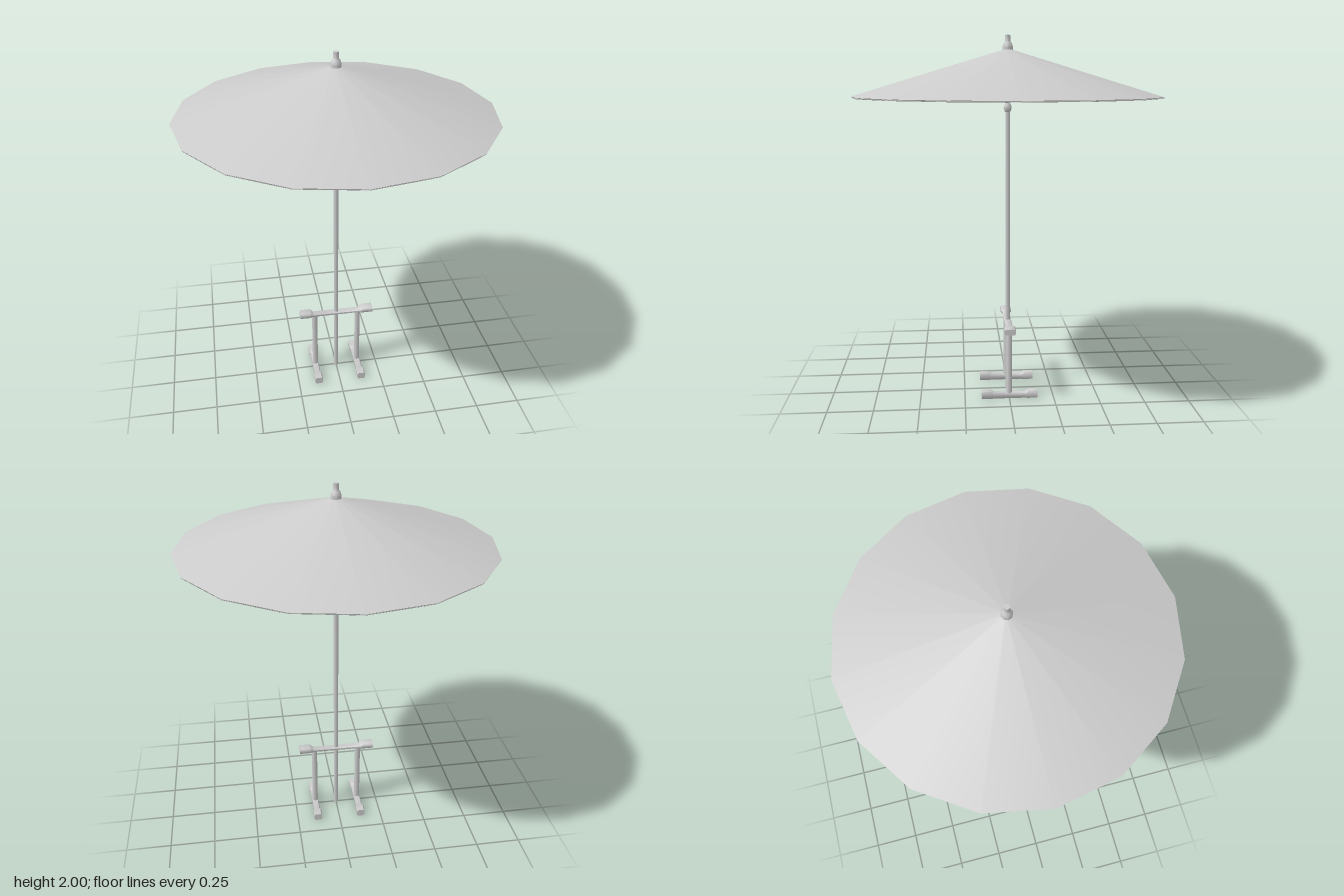
import * as THREE from 'three';
import { toCreasedNormals } from 'three/addons/utils/BufferGeometryUtils.js';

const material = new THREE.MeshStandardMaterial({ color: 0xcccccc, side: THREE.DoubleSide });

function add(parent, name, geometry, x = 0, y = 0, z = 0) {
  const mesh = new THREE.Mesh(geometry, material);
  mesh.name = name;
  mesh.position.set(x, y, z);
  parent.add(mesh);
  return mesh;
}

const lathe = (points, sides) =>
  new THREE.LatheGeometry(points.map(([r, y]) => new THREE.Vector2(r, y)), sides);

// Bar along x with a flat bottom at y = 0; stations are [x, halfWidth, height]
function barGeometry(stations) {
  const section = [[-0.75, 0], [0.75, 0], [1, 0.22], [1, 0.78], [0.75, 1], [-0.75, 1], [-1, 0.78], [-1, 0.22]];
  const n = section.length;
  const positions = [];
  const index = [];
  for (const [x, w, h] of stations) {
    for (const [z, y] of section) positions.push(x, y * h, z * w);
  }
  for (let s = 0; s < stations.length - 1; s++) {
    for (let i = 0; i < n; i++) {
      const a = s * n + i, b = s * n + (i + 1) % n;
      index.push(a, a + n, b, b, a + n, b + n);
    }
  }
  const last = (stations.length - 1) * n;
  for (let i = 1; i < n - 1; i++) {
    index.push(0, i, i + 1, last, last + i + 1, last + i);
  }
  // Winding is turned so that faces point outward
  for (let i = 0; i < index.length; i += 3) {
    [index[i + 1], index[i + 2]] = [index[i + 2], index[i + 1]];
  }
  const geometry = new THREE.BufferGeometry();
  geometry.setAttribute('position', new THREE.Float32BufferAttribute(positions, 3));
  geometry.setIndex(index);
  return toCreasedNormals(geometry, 0.9);
}

// Mirrors half of a bar's stations to make the full bar
const mirrored = (half) =>
  [...half.map(([x, w, h]) => [-x, w, h]), ...half.slice().reverse()];

export function createModel() {
  const model = new THREE.Group();
  model.name = 'parasol';

  // Canopy: thin shallow cone with a softly shaded rim
  add(model, 'canopy', lathe([
    [0, 1.918], [0.83, 1.673], [0.833, 1.68], [0.02, 1.925], [0, 1.926],
  ], 16));

  // Inner cone that carries the canopy
  add(model, 'supportCone', lathe([[0.01, 1.64], [0.238, 1.852]], 16));

  // Pole with collar and finial
  add(model, 'pole', new THREE.CylinderGeometry(0.013, 0.013, 1.92, 8), 0, 0.96, 0);
  add(model, 'collar', lathe([
    [0.012, 1.595], [0.017, 1.6], [0.022, 1.615], [0.02, 1.628], [0.012, 1.645],
  ], 8));
  add(model, 'finial', toCreasedNormals(lathe([
    [0, 1.92], [0.028, 1.922], [0.028, 1.94], [0.022, 1.958], [0.015, 1.966], [0.015, 2], [0, 2],
  ], 8), 0.8));

  // Stand: crossbar, two legs and two feet
  const stand = new THREE.Group();
  stand.name = 'stand';
  model.add(stand);
  add(stand, 'crossbar', barGeometry(mirrored([
    [0.218, 0.03, 0.032], [0.155, 0.03, 0.032], [0.138, 0.02, 0.018],
  ])), 0, 0.401, 0);
  for (const [side, x] of [['left', 0.13], ['right', -0.13]]) {
    add(stand, side + 'Leg', new THREE.CylinderGeometry(0.016, 0.016, 0.385, 8), x, 0.215, 0);
    const foot = add(stand, side + 'Foot', barGeometry(mirrored([
      [0.157, 0.023, 0.042], [0.105, 0.023, 0.042], [0.088, 0.018, 0.032],
    ])), x, 0, 0);
    foot.rotation.y = Math.PI / 2;
  }
  return model;
}
